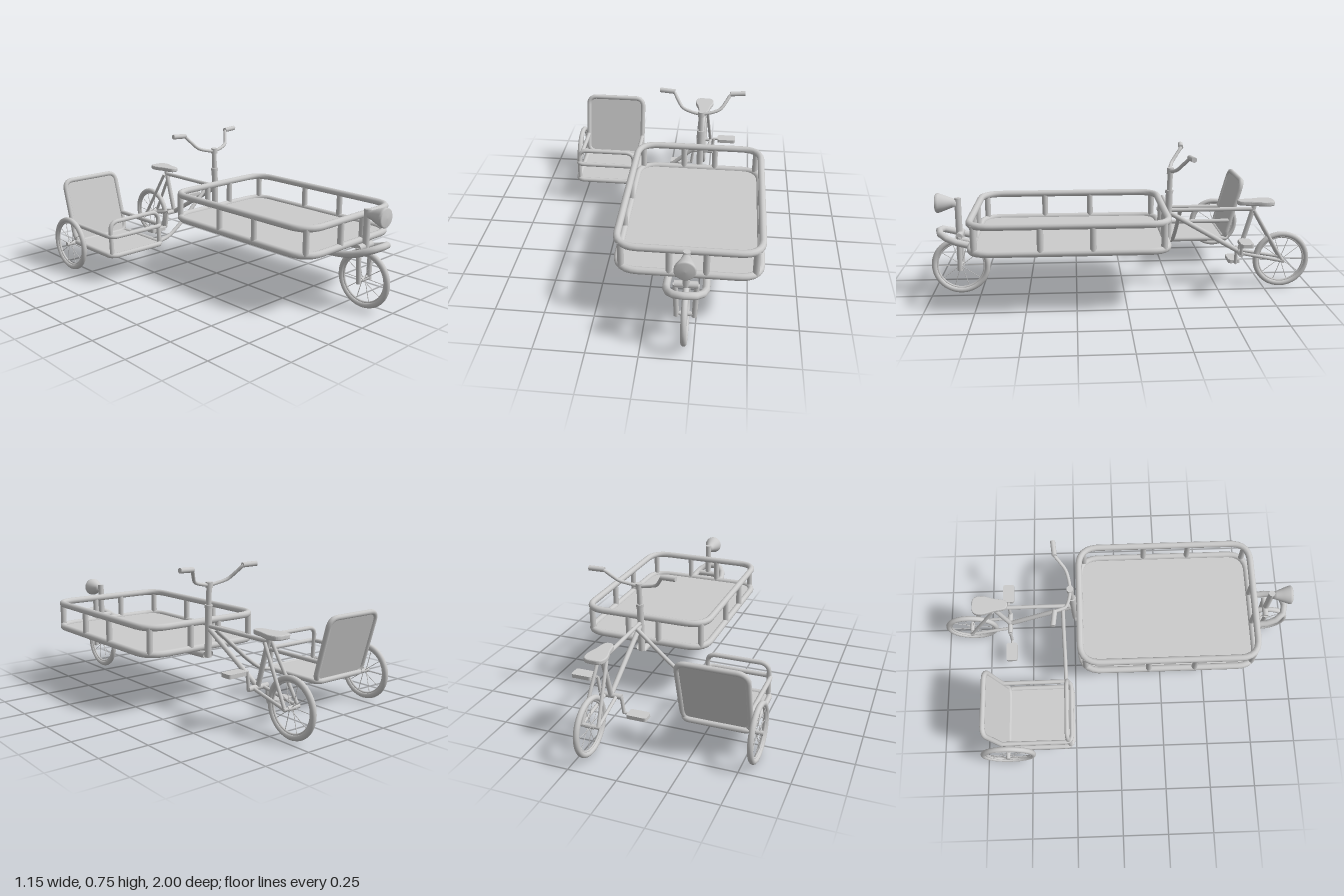
import * as THREE from 'three';

const mat = new THREE.MeshStandardMaterial({ color: 0xcccccc, side: THREE.DoubleSide });
const V = (x, y, z) => new THREE.Vector3(x, y, z);
const BX = 0.205; // centre line of the cycle

function add(parent, name, geometry, x = 0, y = 0, z = 0) {
  const m = new THREE.Mesh(geometry, mat);
  m.name = name;
  m.position.set(x, y, z);
  parent.add(m);
  return m;
}

function group(parent, name, x = 0, y = 0, z = 0) {
  const g = new THREE.Group();
  g.name = name;
  g.position.set(x, y, z);
  parent.add(g);
  return g;
}

// Straight round bar between two points
function bar(parent, name, a, b, r, r2 = r, sides = 12) {
  const d = b.clone().sub(a);
  const m = add(parent, name, new THREE.CylinderGeometry(r2, r, d.length(), sides));
  m.position.copy(a).addScaledVector(d, 0.5);
  m.quaternion.setFromUnitVectors(V(0, 1, 0), d.normalize());
  return m;
}

// Bent pipe: straight runs with rounded corners
function pipe(parent, name, pts, r, bend, closed = false) {
  const path = new THREE.CurvePath();
  const n = pts.length;
  const toward = (p, q) => p.clone().add(q.clone().sub(p).setLength(bend));
  let from = closed ? toward(pts[0], pts[1]) : pts[0];
  for (let i = 1; i < (closed ? n + 1 : n - 1); i++) {
    const p = pts[i % n], a = toward(p, pts[i - 1]), b = toward(p, pts[(i + 1) % n]);
    path.add(new THREE.LineCurve3(from, a));
    path.add(new THREE.QuadraticBezierCurve3(a, p, b));
    from = b;
  }
  if (!closed) path.add(new THREE.LineCurve3(from, pts[n - 1]));
  return add(parent, name, new THREE.TubeGeometry(path, 110, r, 10, closed));
}

function smoothPipe(parent, name, pts, r) {
  return add(parent, name, new THREE.TubeGeometry(new THREE.CatmullRomCurve3(pts), 48, r, 10));
}

const rect = (w, h, z = 0) => [V(-w, -h, z), V(w, -h, z), V(w, h, z), V(-w, h, z)];

// Rounded sheet in the local xy plane, w and h are half sizes
function sheet(parent, name, w, h, r, depth) {
  const s = new THREE.Shape();
  s.moveTo(-w + r, -h);
  s.lineTo(w - r, -h).quadraticCurveTo(w, -h, w, -h + r);
  s.lineTo(w, h - r).quadraticCurveTo(w, h, w - r, h);
  s.lineTo(-w + r, h).quadraticCurveTo(-w, h, -w, h - r);
  s.lineTo(-w, -h + r).quadraticCurveTo(-w, -h, -w + r, -h);
  return add(parent, name, new THREE.ExtrudeGeometry(s, { depth, bevelEnabled: false }), 0, 0, -depth / 2);
}

function wheel(parent, name, x, z) {
  const g = group(parent, name, x, 0.155, z);
  g.rotation.y = Math.PI / 2;
  add(g, 'tyre', new THREE.TorusGeometry(0.137, 0.0145, 12, 48));
  add(g, 'rim', new THREE.TorusGeometry(0.122, 0.006, 8, 48));
  add(g, 'hub', new THREE.CylinderGeometry(0.012, 0.012, 0.05, 14)).rotation.x = Math.PI / 2;
  for (let i = 0; i < 10; i++) {
    const a = (i / 10) * Math.PI * 2;
    bar(g, 'spoke', V(0, 0, i % 2 ? 0.01 : -0.01), V(Math.cos(a) * 0.122, Math.sin(a) * 0.122, 0), 0.0018, 0.0018, 5);
  }
}

function cargoTray(root) {
  const tray = group(root, 'cargoTray', BX, 0, 0.28);
  const w = 0.342, l = 0.482, low = 0.319, high = 0.453;
  for (const [name, y] of [['lowerRail', low], ['upperRail', high]]) {
    const rail = pipe(tray, name, rect(w, l), 0.018, 0.11, true);
    rail.rotation.x = -Math.PI / 2;
    rail.position.y = y;
  }
  const floor = sheet(tray, 'trayFloor', w, l, 0.11, 0.014);
  floor.rotation.x = -Math.PI / 2;
  floor.position.set(0, 0.306, 0);
  for (const s of [-1, 1]) {
    for (const e of [-1, 1]) {
      const spots = [[s * (w - 0.026), e * (l - 0.026)], [s * 0.087, e * l], [s * w, e * 0.126 + 0.014]];
      for (const [x, z] of spots) bar(tray, 'railPost', V(x, low, z), V(x, high, z), 0.016);
    }
  }
}

function cycle(root) {
  const c = group(root, 'cycle', BX);
  // Chassis loop under the tray, rising over the front wheel
  smoothPipe(c, 'chassisLoop', [V(-0.016, 0.283, -0.23), V(-0.055, 0.283, 0.3), V(-0.09, 0.285, 0.76), V(-0.088, 0.31, 0.87),
    V(-0.055, 0.338, 0.935), V(0, 0.345, 0.95), V(0.055, 0.338, 0.935), V(0.088, 0.31, 0.87), V(0.09, 0.285, 0.76),
    V(0.055, 0.283, 0.3), V(0.016, 0.283, -0.23)], 0.018);
  // Front fork and lamp
  wheel(c, 'frontWheel', 0, 0.85);
  bar(c, 'forkCrown', V(-0.055, 0.325, 0.845), V(0.055, 0.325, 0.845), 0.017);
  bar(c, 'lampPost', V(0, 0.32, 0.85), V(0, 0.515, 0.85), 0.017);
  bar(c, 'frontAxle', V(-0.05, 0.155, 0.85), V(0.05, 0.155, 0.85), 0.009);
  const profile = [[0, 0], [0.02, 0], [0.024, 0.02], [0.038, 0.055], [0.05, 0.088], [0.05, 0.1], [0.044, 0.105], [0, 0.108]];
  const lamp = add(c, 'headLamp', new THREE.LatheGeometry(profile.map(p => new THREE.Vector2(...p)), 24), 0, 0.49, 0.857);
  lamp.rotation.x = Math.PI / 2;
  // Steering column and handlebar
  bar(c, 'headTube', V(0, 0.27, -0.232), V(0, 0.54, -0.237), 0.018);
  bar(c, 'headCollar', V(0, 0.525, -0.236), V(0, 0.542, -0.237), 0.021);
  bar(c, 'stem', V(0, 0.53, -0.237), V(0, 0.64, -0.241), 0.014);
  bar(c, 'stemCap', V(0, 0.628, -0.241), V(0, 0.658, -0.241), 0.019);
  const half = [[0.23, 0.74, -0.322], [0.165, 0.738, -0.318], [0.135, 0.703, -0.29], [0.105, 0.668, -0.262], [0.05, 0.65, -0.246]];
  smoothPipe(c, 'handlebar', [...half.map(p => V(-p[0], p[1], p[2])), V(0, 0.643, -0.242),
    ...half.reverse().map(p => V(...p))], 0.009);
  // Rear frame
  const bracket = V(0, 0.2, -0.615), seatTop = V(0, 0.46, -0.69);
  wheel(c, 'rearWheel', 0, -0.843);
  bar(c, 'topTube', V(0, 0.433, -0.24), V(0, 0.433, -0.683), 0.011);
  bar(c, 'downTube', V(0, 0.42, -0.24), bracket, 0.013);
  bar(c, 'seatTube', bracket, seatTop, 0.013);
  bar(c, 'bottomBracket', V(-0.06, 0.2, -0.615), V(0.06, 0.2, -0.615), 0.014);
  bar(c, 'rearAxle', V(-0.05, 0.155, -0.843), V(0.05, 0.155, -0.843), 0.009);
  for (const s of [-1, 1]) {
    bar(c, 'forkBlade', V(s * 0.05, 0.325, 0.845), V(s * 0.042, 0.14, 0.85), 0.013);
    bar(c, 'grip', V(s * 0.155, 0.738, -0.315), V(s * 0.238, 0.741, -0.324), 0.0135);
    bar(c, 'seatStay', V(s * 0.022, 0.43, -0.682), V(s * 0.042, 0.155, -0.843), 0.009);
    bar(c, 'chainStay', V(s * 0.03, 0.2, -0.615), V(s * 0.042, 0.155, -0.843), 0.009);
    // Cranks and pedals, one up and one down
    const py = 0.2 + s * 0.088;
    bar(c, 'crankArm', V(s * 0.057, 0.2, -0.615), V(s * 0.068, py, -0.615), 0.009);
    bar(c, 'pedalAxle', V(s * 0.064, py, -0.615), V(s * 0.11, py, -0.615), 0.007);
    const pedal = sheet(c, 'pedal', 0.054, 0.032, 0.014, 0.02);
    pedal.rotation.x = -Math.PI / 2;
    pedal.position.set(s * 0.146, py - 0.01, -0.615);
  }
  // Saddle: narrow nose to the front, broad at the back
  const s = new THREE.Shape();
  s.moveTo(0, -0.6);
  s.bezierCurveTo(0.025, -0.6, 0.025, -0.62, 0.03, -0.65);
  s.bezierCurveTo(0.034, -0.69, 0.05, -0.71, 0.05, -0.74);
  s.bezierCurveTo(0.05, -0.79, 0.025, -0.785, 0, -0.785);
  s.bezierCurveTo(-0.025, -0.785, -0.05, -0.79, -0.05, -0.74);
  s.bezierCurveTo(-0.05, -0.71, -0.034, -0.69, -0.03, -0.65);
  s.bezierCurveTo(-0.025, -0.62, -0.025, -0.6, 0, -0.6);
  const saddle = add(c, 'saddle', new THREE.ExtrudeGeometry(s,
    { depth: 0.01, bevelThickness: 0.007, bevelSize: 0.005, bevelSegments: 3, curveSegments: 10 }), 0, 0.474, 0);
  saddle.rotation.x = Math.PI / 2;
}

function sidecar(root) {
  const c = group(root, 'sidecar', -0.35);
  const w = 0.171, back = -0.63, front = -0.262, y = 0.158;
  // Floor
  const floor = group(c, 'sidecarFloor', 0, y, (back + front) / 2);
  floor.rotation.x = -Math.PI / 2;
  pipe(floor, 'floorRail', rect(w, (front - back) / 2), 0.014, 0.04, true);
  sheet(floor, 'floorPanel', w, (front - back) / 2, 0.04, 0.01);
  // Reclined backrest
  const rest = group(c, 'backrest', 0, 0.326, -0.662);
  rest.rotation.x = -0.27;
  pipe(rest, 'backrestRail', rect(w, 0.176), 0.014, 0.05, true);
  sheet(rest, 'backrestPanel', w, 0.176, 0.05, 0.01);
  // Arm rail and front hoop
  pipe(c, 'armRail', [V(-w, 0.264, -0.645), V(-w, 0.264, front), V(w, 0.264, front), V(w, 0.264, -0.645)], 0.012, 0.04);
  pipe(c, 'frontHoop', [V(-0.162, y, -0.275), V(-0.162, 0.342, -0.285), V(0.162, 0.342, -0.285), V(0.162, y, -0.275)], 0.012, 0.05);
  // Wheel and link to the cycle
  wheel(c, 'sidecarWheel', -0.206, -0.62);
  bar(c, 'sidecarAxle', V(-0.21, 0.155, -0.62), V(-w, 0.155, -0.62), 0.012);
  smoothPipe(c, 'linkTube', [V(0.171, 0.158, -0.297), V(0.25, 0.178, -0.297), V(0.34, 0.237, -0.297),
    V(0.43, 0.314, -0.297), V(0.555, 0.425, -0.295)], 0.011);
}

export function createModel() {
  const root = new THREE.Group();
  root.name = 'cargoTricycle';
  cargoTray(root);
  cycle(root);
  sidecar(root);
  return root;
}
